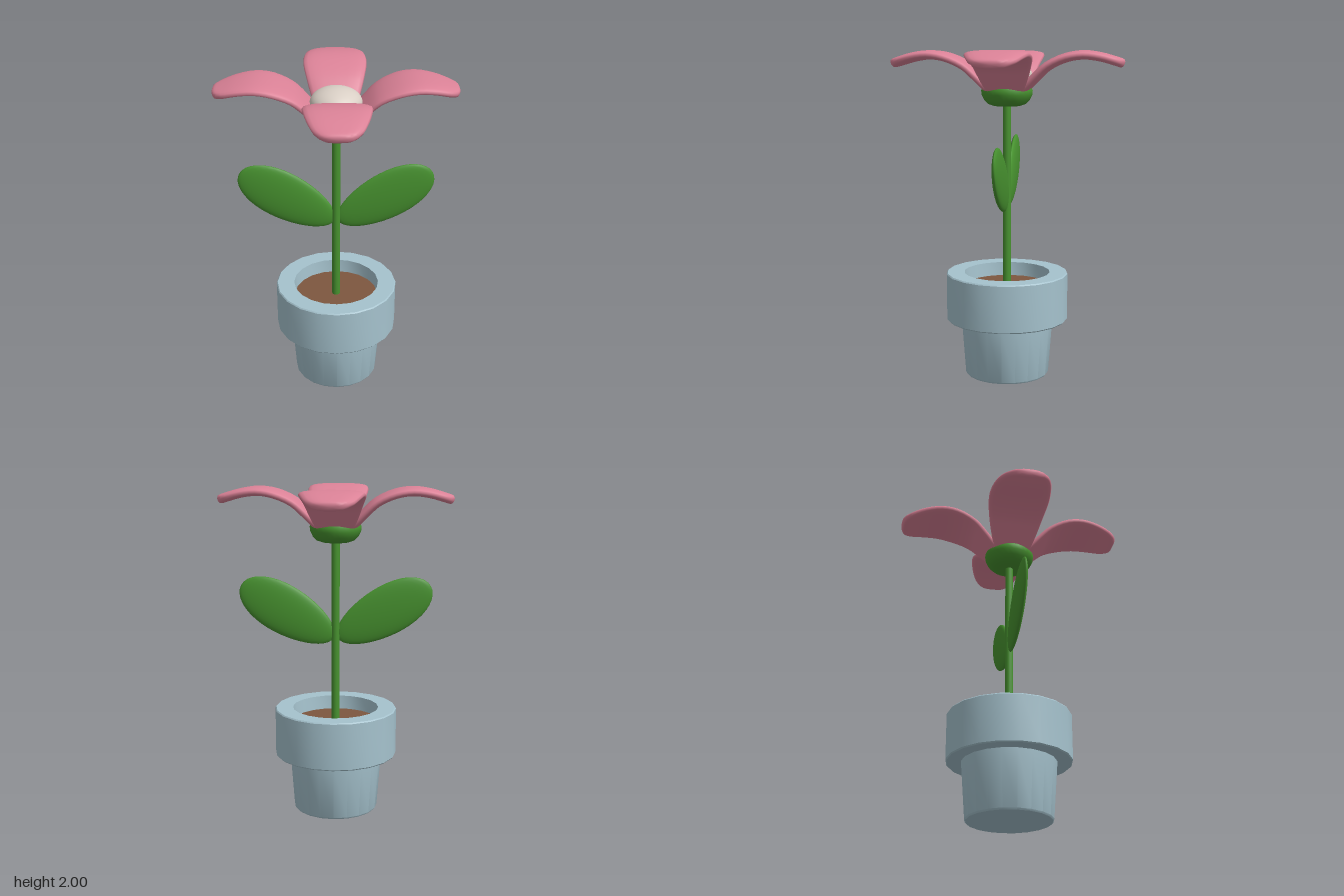
import * as THREE from 'three';
import { toCreasedNormals } from 'three/addons/utils/BufferGeometryUtils.js';

const paint = (name, color) => {
  const m = new THREE.MeshStandardMaterial({ color });
  m.name = name;
  return m;
};

const lathe = (points, sides) => toCreasedNormals(
  new THREE.LatheGeometry(points.map(([r, y]) => new THREE.Vector2(r, y)), sides), 0.6);

// Petal reaching along +z: rounded cross-sections swept along an arched spine
function petalGeometry() {
  // distance from centre, height, half width
  const stations = [
    [0.05, 1.73, 0.09], [0.12, 1.785, 0.125], [0.18, 1.845, 0.15], [0.25, 1.908, 0.172],
    [0.36, 1.957, 0.19], [0.46, 1.972, 0.184], [0.56, 1.96, 0.163], [0.64, 1.938, 0.132],
    [0.678, 1.926, 0.1]];
  const spine = new THREE.CatmullRomCurve3(stations.map(([z, y, w]) => new THREE.Vector3(w, y, z)));
  const rings = 24, sides = 20, pos = [], index = [];
  const addRing = (p, ty, tz, w, t) => {
    for (let j = 0; j < sides; j++) {
      const a = (j / sides) * Math.PI * 2, c = Math.cos(a), s = Math.sin(a);
      const x = w * Math.sign(c) * Math.abs(c) ** 0.75;
      const n = t * Math.sign(s) * Math.abs(s) ** 0.75;
      pos.push(x, p.y + n * tz, p.z - n * ty);
    }
  };
  let p, ty, tz;
  for (let i = 0; i <= rings; i++) {
    p = spine.getPoint(i / rings);
    const d = spine.getTangent(i / rings), len = Math.hypot(d.y, d.z);
    ty = d.y / len;
    tz = d.z / len;
    addRing(p, ty, tz, p.x, 0.028);
  }
  // rounded tip
  for (const [step, w, t] of [[0.014, 0.078, 0.025], [0.022, 0.05, 0.016]]) {
    addRing({ y: p.y + ty * step, z: p.z + tz * step }, ty, tz, w, t);
  }
  const last = rings + 2;
  for (let i = 0; i < last; i++) for (let j = 0; j < sides; j++) {
    const k = (j + 1) % sides, a = i * sides, b = a + sides;
    index.push(a + j, a + k, b + j, a + k, b + k, b + j);
  }
  // end caps
  const start = pos.length / 3;
  pos.push(0, 1.73, 0.05, 0, p.y + ty * 0.024, p.z + tz * 0.024);
  for (let j = 0; j < sides; j++) {
    const k = (j + 1) % sides;
    index.push(k, j, start, last * sides + j, last * sides + k, start + 1);
  }
  const g = new THREE.BufferGeometry();
  g.setAttribute('position', new THREE.Float32BufferAttribute(pos, 3));
  g.setIndex(index);
  g.computeVertexNormals();
  return g;
}

// Flattened egg, a little slimmer toward the stem
function leafGeometry() {
  const g = new THREE.SphereGeometry(1, 32, 20);
  const v = g.attributes.position;
  for (let i = 0; i < v.count; i++) {
    const x = v.getX(i), taper = 1 + 0.12 * x;
    v.setXYZ(i, x * 0.325, v.getY(i) * 0.15 * taper, v.getZ(i) * 0.033);
  }
  g.computeVertexNormals();
  return g;
}

export function createModel() {
  const model = new THREE.Group();
  const clay = paint('pot blue', 0xa5c2cd);
  const earth = paint('soil brown', 0x7d573f);
  const green = paint('plant green', 0x47922f);
  const pink = paint('petal pink', 0xdb8297);
  const cream = paint('centre cream', 0xd9cfc5);
  const add = (name, geometry, material) => {
    const mesh = new THREE.Mesh(geometry, material);
    mesh.name = name;
    model.add(mesh);
    return mesh;
  };

  // Pot with thick collar and sunken soil
  add('pot', lathe([[0, 0], [0.253, 0], [0.26, 0.01], [0.285, 0.35], [0.37, 0.35], [0.376, 0.357],
    [0.376, 0.638], [0.37, 0.645], [0.265, 0.645], [0.258, 0.54]], 20), clay);
  add('soil', new THREE.CylinderGeometry(0.262, 0.262, 0.04, 20), earth).position.y = 0.54;

  // Stem and mirrored leaves
  add('stem', new THREE.CylinderGeometry(0.025, 0.025, 1.16, 16), green).position.y = 1.12;
  const leaf = leafGeometry();
  for (const side of [1, -1]) {
    const mesh = add(side > 0 ? 'leftLeaf' : 'rightLeaf', leaf, green);
    mesh.position.set(side * 0.294, 1.243, 0);
    mesh.rotation.set(0, side > 0 ? 0 : Math.PI, Math.PI / 6, 'YXZ');
  }

  // Flower head
  add('calyx', lathe([[0, 1.666], [0.08, 1.668], [0.115, 1.68], [0.138, 1.703], [0.153, 1.735],
    [0.156, 1.76], [0.148, 1.778], [0.12, 1.785], [0, 1.785]], 28), green);
  const centre = add('flowerCentre', new THREE.SphereGeometry(0.152, 32, 20), cream);
  centre.scale.y = 0.58;
  centre.position.y = 1.852;
  const petal = petalGeometry();
  for (let i = 0; i < 4; i++) add('petal', petal, pink).rotation.y = (i * Math.PI) / 2;

  return model;
}
